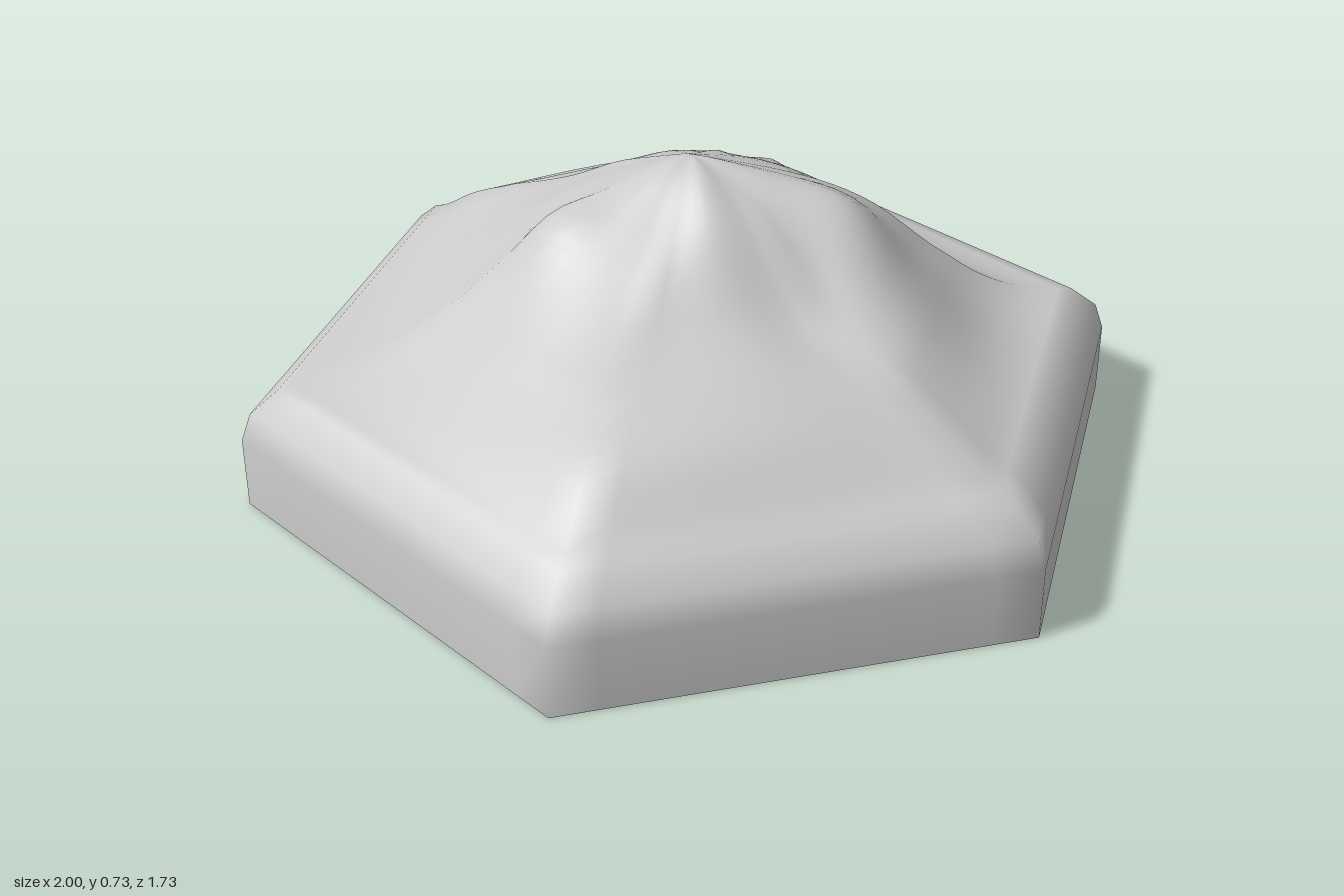
import * as THREE from 'three';

const material = new THREE.MeshStandardMaterial({ color: 0xcccccc });
const PER_EDGE = 10, AROUND = PER_EDGE * 6, RINGS = 26, RIM = 0.912;

// Hill heights along 12 directions (every 30 degrees, from +x towards +z)
// at these fractions of the way from the centre to the hexagon's edge.
const STOPS = [0, 0.2, 0.4, 0.6, 0.75, RIM];
const HEIGHTS = [
  [0.67, 0.575, 0.41, 0.315],
  [0.70, 0.635, 0.46, 0.34],
  [0.655, 0.49, 0.425, 0.355],
  [0.665, 0.515, 0.46, 0.40],
  [0.63, 0.515, 0.455, 0.395],
  [0.66, 0.56, 0.44, 0.35],
  [0.66, 0.535, 0.39, 0.315],
  [0.66, 0.56, 0.43, 0.335],
  [0.65, 0.54, 0.45, 0.375],
  [0.66, 0.565, 0.475, 0.41],
  [0.65, 0.54, 0.45, 0.375],
  [0.665, 0.57, 0.43, 0.33],
].map((row) => [0.715, ...row, 0.28]);

// Smooth curve through four neighbouring values
function cubic(a, b, c, d, t) {
  const m0 = (c - a) / 2, m1 = (d - b) / 2;
  return b + m0 * t + (3 * (c - b) - 2 * m0 - m1) * t * t + (2 * (b - c) + m0 + m1) * t * t * t;
}

function alongProfile(row, t) {
  let i = 0;
  while (i < STOPS.length - 2 && t > STOPS[i + 1]) i++;
  const f = (t - STOPS[i]) / (STOPS[i + 1] - STOPS[i]);
  const before = i ? row[i - 1] : row[0];
  return cubic(before, row[i], row[i + 1], row[Math.min(i + 2, 5)], f);
}

function bump(x, z, cx, cz, height, radius) {
  return height * Math.exp(-((x - cx) ** 2 + (z - cz) ** 2) / radius ** 2);
}

function hillHeight(x, z, s, t) {
  const k = Math.floor(s * 12), f = s * 12 - k;
  const h = [-1, 0, 1, 2].map((d) => alongProfile(HEIGHTS[(k + d + 12) % 12], t));
  return cubic(...h, f)
    + bump(x, z, -0.03, 0.06, 0.025, 0.1)   // summit
    + bump(x, z, -0.31, 0.05, 0.045, 0.08)  // rocky shoulder
    + bump(x, z, 0.32, 0.17, 0.015, 0.08);  // end of the ridge
}

// Point on the unit hexagon at fraction s of its outline
function hexPoint(s) {
  const e = Math.floor(s * 6), f = s * 6 - e;
  const a = (e * Math.PI) / 3, b = a + Math.PI / 3;
  return [
    THREE.MathUtils.lerp(Math.cos(a), Math.cos(b), f),
    THREE.MathUtils.lerp(Math.sin(a), Math.sin(b), f),
  ];
}

function terrainGeometry() {
  const positions = [], index = [];
  // Wall and rounded rim, then hill rings closing in on the centre
  const rings = [[1, 0], [1, 0.165], [0.977, 0.228]];
  for (let i = 0; i < RINGS; i++) rings.push([RIM * (1 - i / RINGS), null]);
  rings.forEach(([scale, y]) => {
    for (let j = 0; j < AROUND; j++) {
      const s = j / AROUND, [hx, hz] = hexPoint(s);
      const x = hx * scale, z = hz * scale;
      positions.push(x, y ?? hillHeight(x, z, s, scale), z);
    }
  });
  const centre = positions.length / 3;
  positions.push(0, hillHeight(0, 0, 0, 0), 0);
  for (let i = 0; i < rings.length; i++) {
    for (let j = 0; j < AROUND; j++) {
      const next = (j + 1) % AROUND;
      const a = i * AROUND + j, b = i * AROUND + next;
      if (i === rings.length - 1) index.push(a, centre, b);
      else index.push(a, a + AROUND, b, b, a + AROUND, b + AROUND);
    }
  }
  const geometry = new THREE.BufferGeometry();
  geometry.setAttribute('position', new THREE.Float32BufferAttribute(positions, 3));
  geometry.setIndex(index);
  geometry.computeVertexNormals();
  return geometry;
}

export function createModel() {
  const model = new THREE.Group();
  model.name = 'hexagonalHillTile';

  const terrain = new THREE.Mesh(terrainGeometry(), material);
  terrain.name = 'hillTerrain';

  // Flat underside
  const underside = new THREE.Mesh(new THREE.CircleGeometry(1, 6).rotateX(Math.PI / 2), material);
  underside.name = 'underside';

  model.add(terrain, underside);
  return model;
}
